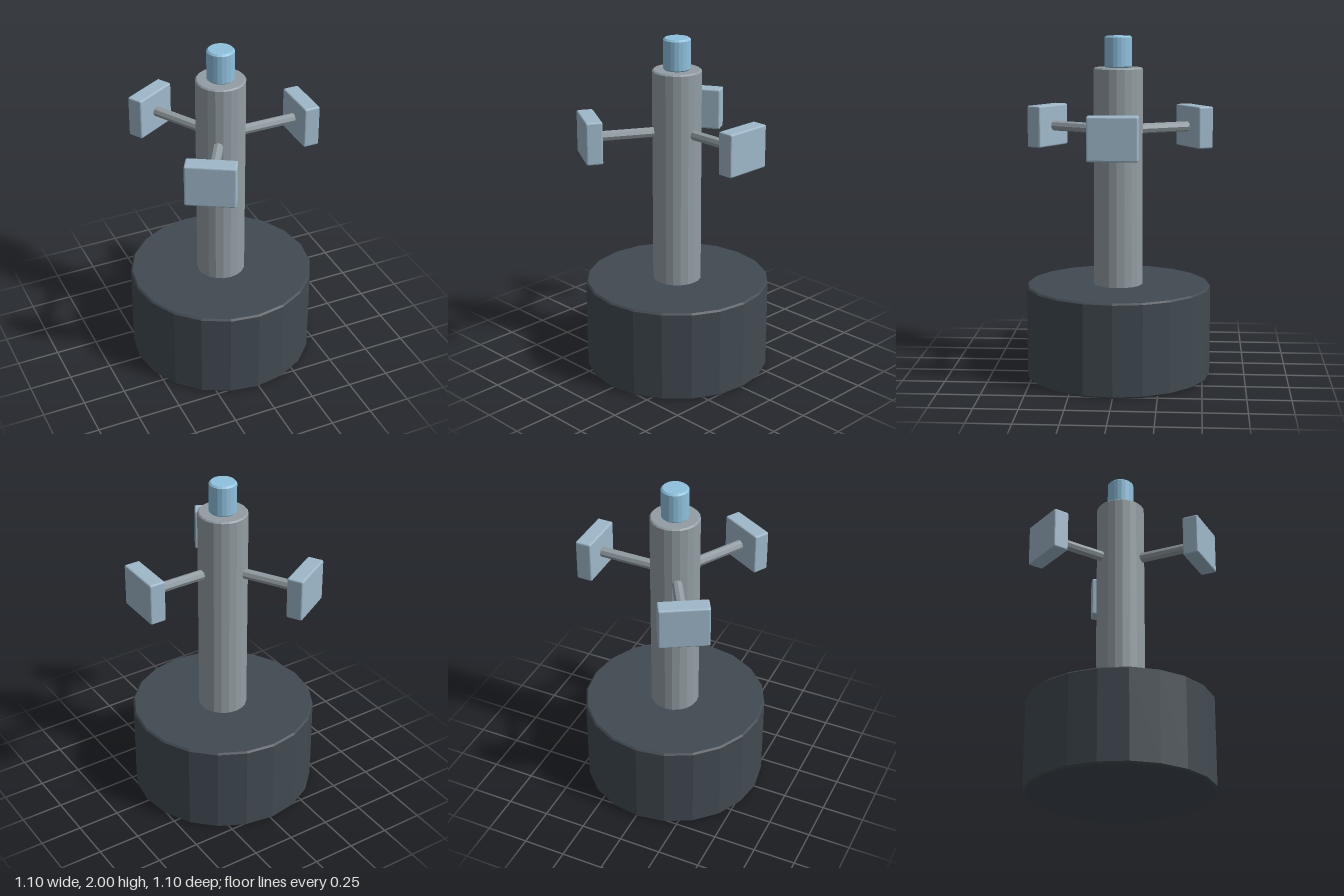
import * as THREE from 'three';
import { RoundedBoxGeometry } from 'three/addons/geometries/RoundedBoxGeometry.js';

const material = (color) => new THREE.MeshStandardMaterial({ color, flatShading: true });
const dark = material(0x414a51);
const steel = material(0x929da3);
const panel = material(0x9fb8ca);
const blue = material(0x8fc1dd);

// Faceted cylinder standing from y0 to y1 with small bevels on both rims
function bevelledCylinder(name, radius, y0, y1, bevel, mat, sides = 20) {
  const profile = [
    [0, y0], [radius - bevel, y0], [radius, y0 + bevel],
    [radius, y1 - bevel], [radius - bevel, y1], [0, y1],
  ].map(([r, y]) => new THREE.Vector2(r, y));
  const mesh = new THREE.Mesh(new THREE.LatheGeometry(profile, sides), mat);
  mesh.name = name;
  return mesh;
}

export function createModel() {
  const model = new THREE.Group();
  model.name = 'pedestalWithPaddles';
  model.position.x = -0.008;

  // Heavy base, central column and top cap
  model.add(bevelledCylinder('base', 0.544, 0, 0.545, 0.01, dark));
  model.add(bevelledCylinder('column', 0.143, 0.53, 1.818, 0.008, steel));
  model.add(bevelledCylinder('cap', 0.079, 1.815, 2, 0.01, blue));

  // Three radial arms, each ending in an upright paddle
  for (let i = 0; i < 3; i++) {
    const arm = new THREE.Group();
    arm.name = `arm${i + 1}`;
    arm.position.y = 1.457;
    arm.rotation.y = (i * Math.PI * 2) / 3;

    const rod = bevelledCylinder('rod', 0.03, 0.1, 0.48, 0.004, steel, 8);
    rod.rotation.z = -Math.PI / 2;
    const paddle = new THREE.Mesh(new RoundedBoxGeometry(0.096, 0.248, 0.284, 2, 0.01), panel);
    paddle.name = 'paddle';
    paddle.position.x = 0.51;
    arm.add(rod, paddle);
    model.add(arm);
  }

  const group = new THREE.Group();
  group.name = 'model';
  group.add(model);
  return group;
}
